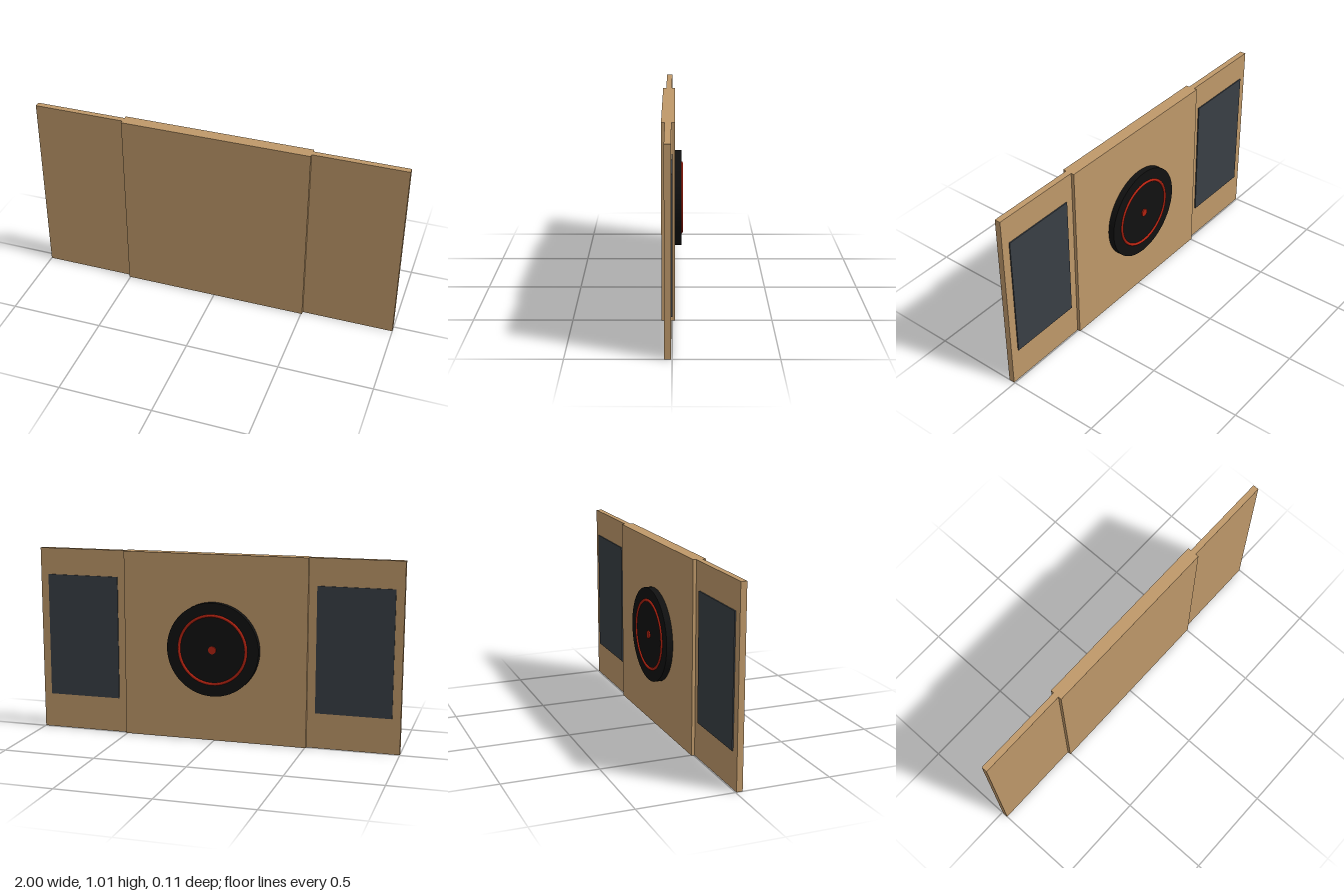
import * as THREE from 'three';

export function createModel() {
  const group = new THREE.Group();
  const material = (name, color) => {
    const m = new THREE.MeshStandardMaterial({ color });
    m.name = name;
    return m;
  };
  const wood = material('wood', 0xbf996a);
  const slate = material('slate', 0x393f45);
  const black = material('black', 0x111111);
  const red = material('red', 0xb22210);
  const midY = 0.506;

  const add = (name, geometry, mat, x, y, z) => {
    const mesh = new THREE.Mesh(geometry, mat);
    mesh.name = name;
    mesh.position.set(x, y, z);
    group.add(mesh);
    return mesh;
  };
  // box given by its width, height and z range
  const slab = (name, mat, x, y, w, h, z0, z1) =>
    add(name, new THREE.BoxGeometry(w, h, z1 - z0), mat, x, y, (z0 + z1) / 2);
  // round disc lying against the back
  const disc = (name, mat, r, z0, z1) => {
    const geometry = new THREE.CylinderGeometry(r, r, z1 - z0, 64);
    geometry.rotateX(Math.PI / 2);
    return add(name, geometry, mat, 0, midY, (z0 + z1) / 2);
  };

  // thick middle board
  slab('centerPanel', wood, 0, midY, 1.012, 2 * midY, -0.012, 0.055);

  // thinner side boards, each with a dark inset on the back
  for (const [side, s] of [['left', 1], ['right', -1]]) {
    slab(side + 'Panel', wood, s * 0.753, midY, 0.494, 2 * midY, 0.005, 0.037);
    slab(side + 'DarkPlate', slate, s * 0.753, 0.529, 0.405, 0.676, -0.001, 0.005);
  }

  // round back emblem: black disc, raised red ring and hub
  disc('roundDisc', black, 0.253, -0.046, -0.012);
  add('redRing', new THREE.TorusGeometry(0.185, 0.0075, 12, 64), red, 0, midY, -0.0465);
  disc('redHub', red, 0.021, -0.053, -0.046);

  return group;
}
